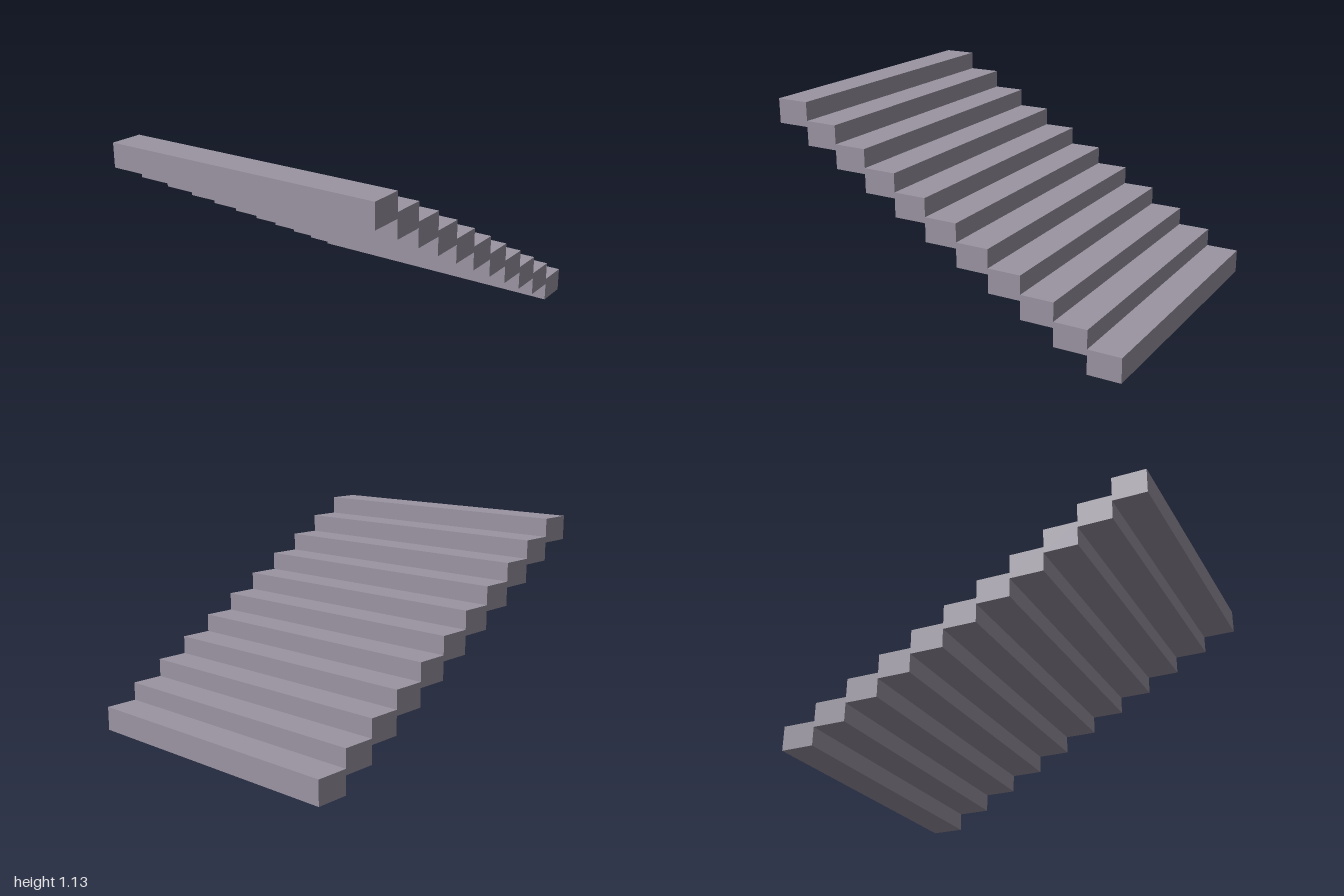
import * as THREE from 'three';

const STEPS = 11;
const WIDTH = 1.595;
const RISE = 0.1; // height gained per step
const HEIGHT = 0.132; // thickness of each block
const DEPTH = 2 / STEPS;

export function createModel() {
  const stairs = new THREE.Group();
  stairs.name = 'stairs';

  const stone = new THREE.MeshStandardMaterial({ color: 0x9b95a3 });
  stone.name = 'greyStone';

  // Floating block steps, climbing from the back towards the front
  const block = new THREE.BoxGeometry(WIDTH, HEIGHT, DEPTH);
  for (let i = 0; i < STEPS; i++) {
    const step = new THREE.Mesh(block, stone);
    step.name = `step${i + 1}`;
    step.position.set(0, HEIGHT / 2 + i * RISE, -1 + (i + 0.5) * DEPTH);
    stairs.add(step);
  }
  return stairs;
}
